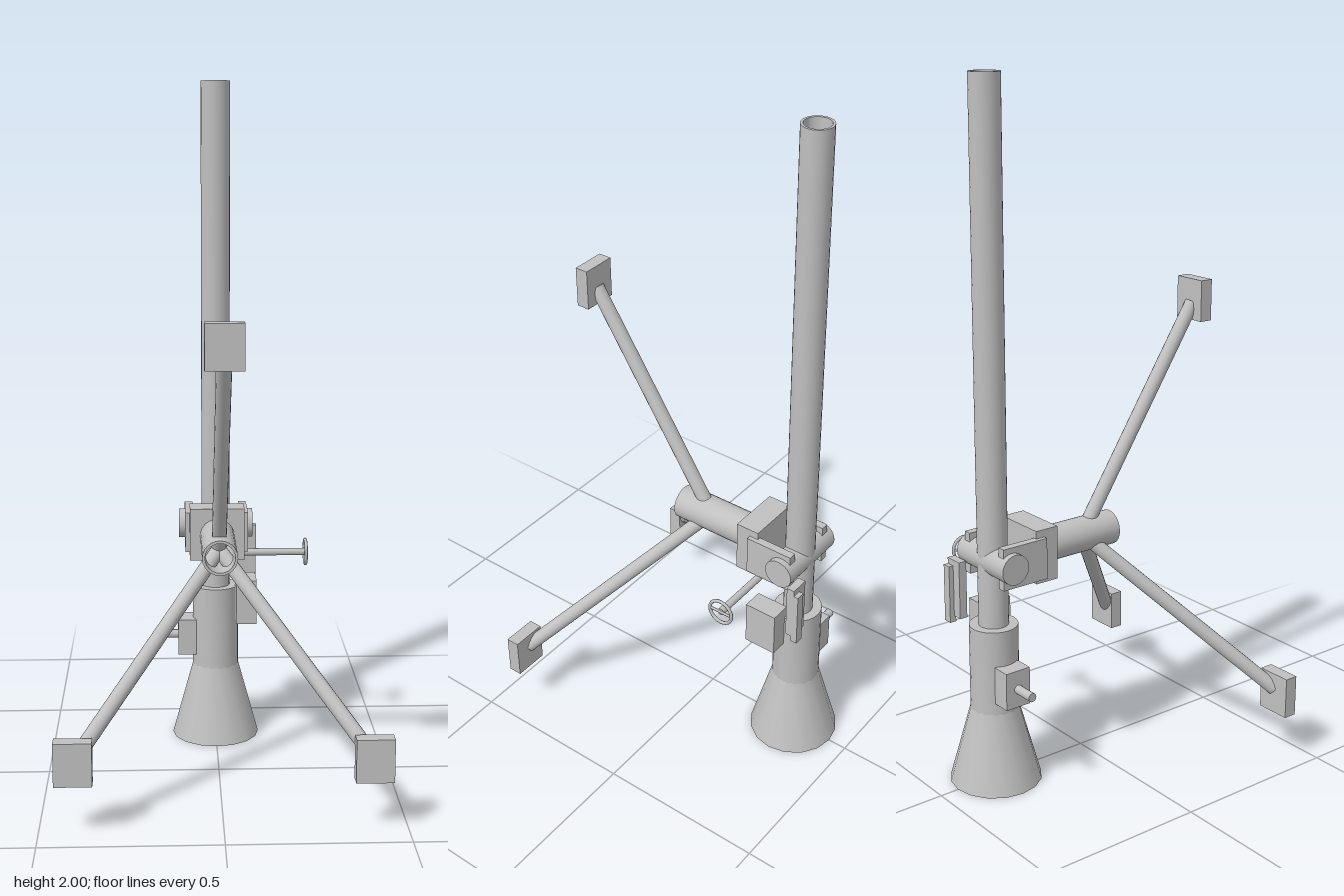
import * as THREE from 'three';
import { toCreasedNormals } from 'three/addons/utils/BufferGeometryUtils.js';

const grey = new THREE.MeshStandardMaterial({ color: 0xc0c0c0, side: THREE.DoubleSide });
grey.name = 'light grey';

const TUBE_Z = -0.31;   // axis of the upright barrel
const AXIS_Y = 0.675;   // height of the pivot and mount

export function createModel() {
  const model = new THREE.Group();
  model.name = 'tripodLauncher';

  const add = (name, geometry, x = 0, y = 0, z = 0) => {
    const mesh = new THREE.Mesh(geometry, grey);
    mesh.name = name;
    mesh.position.set(x, y, z);
    model.add(mesh);
    return mesh;
  };

  // Box given by its limits on each axis
  const box = (name, x0, x1, y0, y1, z0, z1) =>
    add(name, new THREE.BoxGeometry(x1 - x0, y1 - y0, z1 - z0),
      (x0 + x1) / 2, (y0 + y1) / 2, (z0 + z1) / 2);

  // Turned part from [radius, height] pairs
  const turned = (name, profile, sides, x, y, z) => add(name, toCreasedNormals(
    new THREE.LatheGeometry(profile.map(([r, h]) => new THREE.Vector2(r, h)), sides), 0.7), x, y, z);

  // Straight round bar between two points
  const rod = (name, from, to, radius, sides = 16) => {
    const a = new THREE.Vector3(...from), b = new THREE.Vector3(...to);
    const dir = b.clone().sub(a);
    const mid = a.clone().add(b).multiplyScalar(0.5);
    const mesh = add(name, new THREE.CylinderGeometry(radius, radius, dir.length(), sides), mid.x, mid.y, mid.z);
    mesh.quaternion.setFromUnitVectors(new THREE.Vector3(0, 1, 0), dir.normalize());
    return mesh;
  };

  // Barrel, breech and flared nozzle
  turned('barrel', [[0.036, 0.42], [0.043, 0.42], [0.043, 2], [0.036, 2], [0.036, 0.42]], 24, 0, 0, TUBE_Z);
  turned('breech', [[0.055, 0.22], [0.07, 0.22], [0.07, 0.48], [0.04, 0.48]], 24, 0, 0, TUBE_Z);
  turned('nozzle', [[0.055, 0.23], [0.108, 0], [0.133, 0], [0.07, 0.23]], 16, 0, 0, TUBE_Z);

  // Breech latch and its handle
  box('latchBlock', -0.116, -0.06, 0.265, 0.376, -0.35, -0.27);
  rod('latchHandle', [-0.183, 0.32, TUBE_Z], [-0.1, 0.32, TUBE_Z], 0.013);

  // Pivot held in a yoke
  rod('trunnion', [-0.112, AXIS_Y, TUBE_Z], [0.112, AXIS_Y, TUBE_Z], 0.044, 24);
  for (const s of [-1, 1]) {
    const arm = box('yokeArm', 0.07, 0.094, 0.614, 0.735, -0.338, -0.19);
    arm.position.x *= s;
  }
  box('yokePlate', -0.081, 0.081, 0.6, 0.757, -0.218, -0.145);

  // Hollow mount tube, open at the front
  const mount = turned('mountTube',
    [[0.043, 0], [0.051, 0], [0.051, 0.252], [0.043, 0.252], [0.043, 0]], 24, 0, AXIS_Y, -0.146);
  mount.rotation.x = Math.PI / 2;

  // Three legs with square foot plates
  for (const [x, y] of [[-0.404, 0.204], [0.404, 0.204], [0, 1.318]]) {
    rod('leg', [0, AXIS_Y, 0.005], [x * 0.98, AXIS_Y + (y - AXIS_Y) * 0.98, 0.415], 0.021);
    box('footPlate', x - 0.052, x + 0.052, y - 0.061, y + 0.061, 0.404, 0.444);
  }

  // Elevation handwheel
  rod('wheelShaft', [0.07, 0.603, -0.227], [0.27, 0.603, -0.227], 0.011);
  const wheel = add('handwheel', new THREE.TorusGeometry(0.037, 0.005, 8, 24), 0.27, 0.603, -0.227);
  wheel.rotation.y = Math.PI / 2;
  rod('wheelSpoke', [0.27, 0.603, -0.264], [0.27, 0.603, -0.19], 0.004, 8);

  // Side block and sight housing
  box('sideBlock', 0.06, 0.122, 0.38, 0.516, -0.31, -0.21);
  box('sightHousing', 0.07, 0.127, 0.485, 0.655, -0.376, -0.352);
  box('sightPlate', 0.1, 0.127, 0.467, 0.637, -0.39, -0.37);

  return model;
}
